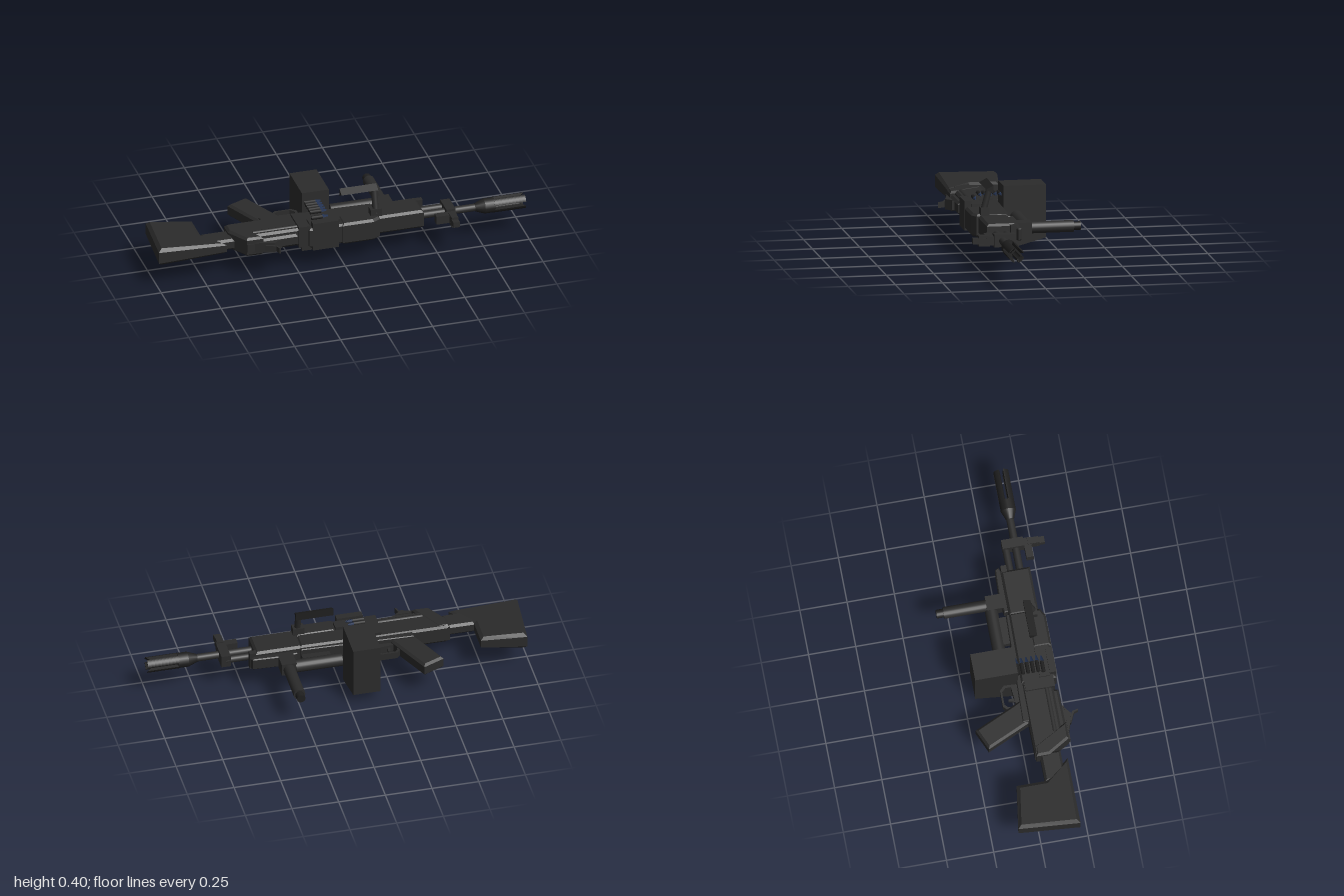
import * as THREE from 'three';

const CY = 0.183; // height of the bore axis; the weapon lies on its side, its top towards +z

export function createModel() {
  const model = new THREE.Group();
  const gunmetal = new THREE.MeshStandardMaterial({ name: 'gunmetal', color: 0x2b2b2b });
  const darkSteel = new THREE.MeshStandardMaterial({ name: 'dark steel', color: 0x1f1f1f });
  const bulletBlue = new THREE.MeshStandardMaterial({ name: 'bullet blue', color: 0x2c3d60 });

  function add(name, geo, mat = gunmetal, parent = model) {
    const mesh = new THREE.Mesh(geo, mat);
    mesh.name = name;
    parent.add(mesh);
    return mesh;
  }
  // Box given by its limits
  function box(name, x0, x1, y0, y1, z0, z1, mat, parent) {
    const g = new THREE.BoxGeometry(x1 - x0, y1 - y0, z1 - z0);
    g.translate((x0 + x1) / 2, (y0 + y1) / 2, (z0 + z1) / 2);
    return add(name, g, mat, parent);
  }
  // Outline in (x, z) extruded from y0 to y1, optionally with chamfered edges
  function slabGeo(pts, y0, y1, bevel = 0, hole) {
    const shape = new THREE.Shape(pts.map(p => new THREE.Vector2(...p)));
    if (hole) shape.holes.push(new THREE.Path(hole.map(p => new THREE.Vector2(...p))));
    const g = new THREE.ExtrudeGeometry(shape, {
      depth: y1 - y0 - 2 * bevel, bevelEnabled: bevel > 0, bevelThickness: bevel,
      bevelSize: bevel, bevelOffset: -bevel, bevelSegments: 1,
    });
    g.rotateX(Math.PI / 2);
    g.translate(0, y1 - bevel, 0);
    return g;
  }
  const slab = (name, pts, y0, y1, bevel, mat, hole) => add(name, slabGeo(pts, y0, y1, bevel, hole), mat);
  // Round bar between two points
  function bar(name, a, b, r0, r1 = r0, sides = 16, mat = gunmetal, parent = model) {
    const p = new THREE.Vector3(...a), q = new THREE.Vector3(...b);
    const mesh = add(name, new THREE.CylinderGeometry(r1, r0, p.distanceTo(q), sides), mat, parent);
    mesh.position.copy(p).lerp(q, 0.5);
    mesh.quaternion.setFromUnitVectors(new THREE.Vector3(0, 1, 0), q.sub(p).normalize());
    return mesh;
  }

  // Stock, widening towards the butt
  const stock = slabGeo([[-1, 0.21], [-0.975, -0.115], [-0.735, -0.08], [-0.735, 0.075], [-0.63, 0.21]], -0.05, 0.05, 0.018);
  const sp = stock.attributes.position;
  for (let i = 0; i < sp.count; i++) {
    const t = (sp.getX(i) + 1) / 0.37;
    sp.setY(i, CY + sp.getY(i) * (1 - 0.42 * t));
  }
  stock.computeVertexNormals();
  add('stock', stock);
  slab('stockNeck', [[-0.74, 0.07], [-0.58, 0.07], [-0.58, 0.18], [-0.74, 0.18]], 0.152, 0.214, 0.012);

  // Receiver
  slab('rearPlate', [[-0.6, 0.05], [-0.54, 0.05], [-0.44, 0.235], [-0.53, 0.235], [-0.6, 0.12]], 0.13, 0.237, 0.012);
  slab('receiver', [[-0.59, 0.045], [0.2, 0.045], [0.2, 0.205], [-0.52, 0.205]], 0.133, 0.235, 0.012);
  slab('rearTopCover', [[-0.55, 0.19], [-0.24, 0.19], [-0.25, 0.23], [-0.53, 0.235]], 0.15, 0.217, 0.012);
  box('topRail', -0.53, -0.34, 0.16, 0.205, 0.22, 0.243);
  for (const y of [0.139, 0.227]) bar('sideRod', [-0.48, y, 0.17], [-0.24, y, 0.17], 0.014, 0.014, 8);
  box('receiverCollar', -0.24, -0.18, 0.128, 0.247, 0.06, 0.215);
  slab('lowerRail', [[-0.4, 0.015], [0.2, 0.035], [0.2, 0.06], [-0.4, 0.06]], 0.135, 0.228, 0.004);
  slab('middleBody', [[-0.19, 0.045], [0.2, 0.05], [0.2, 0.215], [0.16, 0.232], [-0.19, 0.232]], 0.125, 0.238, 0.01);
  box('feedCover', -0.17, -0.03, 0.112, 0.268, 0.2, 0.236);
  box('feedTray', -0.18, -0.01, 0.118, 0.255, 0.145, 0.2);
  slab('sideCover', [[-0.01, 0.14], [0.2, 0.14], [0.2, 0.215], [0.16, 0.238], [-0.01, 0.238]], 0.12, 0.243, 0.012);

  // Handguard
  slab('handguard', [[0.19, 0.05], [0.44, 0.05], [0.44, 0.206], [0.19, 0.206]], 0.134, 0.237, 0.012);
  box('handguardLip', 0.43, 0.47, 0.137, 0.232, 0.055, 0.085);
  slab('handguardRail', [[0.22, 0.03], [0.3, 0.018], [0.46, 0.025], [0.47, 0.045], [0.44, 0.055], [0.22, 0.055]], 0.15, 0.215, 0.005);

  // Barrel, gas tube and flash hider
  bar('barrel', [0.4, CY, 0.155], [0.77, CY, 0.155], 0.02);
  bar('gasTube', [0.4, CY, 0.103], [0.59, CY, 0.103], 0.019);
  const hider = new THREE.Group();
  hider.name = 'flashHider';
  model.add(hider);
  bar('hiderCone', [0.73, CY, 0.155], [0.78, CY, 0.155], 0.021, 0.04, 16, darkSteel, hider);
  bar('hiderCollar', [0.78, CY, 0.155], [0.835, CY, 0.155], 0.04, 0.04, 16, darkSteel, hider);
  for (let i = 0; i < 4; i++) {
    // Quarter-ring prong with a slanted tip
    const s = new THREE.Shape();
    s.absarc(0, 0, 0.041, 0.27, Math.PI / 2 - 0.27, false);
    s.absarc(0, 0, 0.025, Math.PI / 2 - 0.27, 0.27, true);
    const g = new THREE.ExtrudeGeometry(s, { depth: 0.17, bevelEnabled: false, curveSegments: 4 });
    const p = g.attributes.position;
    for (let k = 0; k < p.count; k++) {
      if (p.getZ(k) > 0.1 && Math.hypot(p.getX(k), p.getY(k)) < 0.03) p.setZ(k, 0.15);
    }
    g.computeVertexNormals();
    g.rotateZ(i * Math.PI / 2);
    g.rotateY(Math.PI / 2);
    g.translate(0.83, CY, 0.155);
    add('hiderProng', g, darkSteel, hider);
  }

  // Front sight
  box('gasBlock', 0.565, 0.615, 0.15, 0.217, 0.085, 0.2);
  box('sightBase', 0.5, 0.61, 0.16, 0.206, 0.2, 0.238);
  box('sightPost', 0.57, 0.605, 0.168, 0.198, 0.23, 0.31);
  for (const y of [0.155, 0.199]) box('sightEar', 0.57, 0.605, y, y + 0.012, 0.22, 0.28);

  // Rear sight: low base and bent leaf
  slab('rearSightBase', [[-0.5, 0.24], [-0.35, 0.24], [-0.39, 0.272], [-0.43, 0.26]], 0.155, 0.21);
  slab('rearSightLeaf', [[-0.43, 0.25], [-0.375, 0.28], [-0.368, 0.312], [-0.376, 0.312], [-0.384, 0.288], [-0.44, 0.262]], 0.168, 0.198);

  // Pistol grip, trigger and guard
  slab('pistolGrip', [[-0.51, -0.185], [-0.395, -0.235], [-0.295, -0.02], [-0.26, 0.055], [-0.4, 0.055]], 0.147, 0.218, 0.012);
  slab('triggerGuard', [[-0.32, 0.05], [-0.31, -0.05], [-0.29, -0.07], [-0.2, -0.07], [-0.175, -0.045], [-0.18, 0.05]],
    0.165, 0.202, 0, gunmetal, [[-0.305, 0], [-0.295, -0.045], [-0.28, -0.06], [-0.21, -0.06], [-0.19, -0.04], [-0.19, -0.01]]);
  slab('trigger', [[-0.27, 0], [-0.25, 0], [-0.25, -0.035], [-0.262, -0.035]], 0.176, 0.19);

  // Ammunition box with a slanted end
  const boxShape = new THREE.Shape([[-0.031, 0], [0.195, 0.062], [0.195, 0.343], [-0.031, 0.343]].map(p => new THREE.Vector2(...p)));
  const ammo = new THREE.ExtrudeGeometry(boxShape, { depth: 0.147, bevelEnabled: false });
  ammo.rotateY(Math.PI / 2);
  ammo.translate(-0.17, 0, 0);
  add('ammunitionBox', ammo);

  // Cartridge belt rising from the box and bending into the feed tray
  for (let i = 0; i < 6; i++) {
    const z = 0.034 + i * 0.027, y = i < 5 ? 0.287 : 0.268;
    bar('cartridgeCase', [-0.16, y, z], [-0.1, y, z], 0.01, 0.01, 6, darkSteel);
    const tip = new THREE.CylinderGeometry(0.005, 0.013, 0.03, 3);
    tip.rotateY(-Math.PI / 2);
    tip.rotateZ(-Math.PI / 2);
    tip.rotateX(Math.PI / 2);
    tip.rotateX(Math.PI / 2);
    tip.rotateX(-Math.PI / 2);
    tip.translate(-0.085, y, z);
    add('bulletTip', tip, bulletBlue);
  }

  // Carrying handle folded to the side
  box('handleHinge', 0.155, 0.215, 0.23, 0.278, 0.15, 0.195);
  bar('handleArm', [0.187, 0.25, 0.18], [0.187, 0.37, 0.148], 0.017, 0.017, 12);
  const gripShape = new THREE.Shape([[-0.166, 0.374], [-0.127, 0.352], [-0.126, 0.395]].map(p => new THREE.Vector2(...p)));
  const handle = new THREE.ExtrudeGeometry(gripShape, { depth: 0.2, bevelEnabled: false });
  handle.rotateY(Math.PI / 2);
  handle.translate(0.005, 0, 0);
  add('handleGrip', handle, darkSteel);

  // Foregrip below the handguard and the tube beside it
  bar('foregrip', [0.285, 0.181, 0.0], [0.285, 0.181, -0.28], 0.031, 0.031, 20);
  bar('foregripCap', [0.285, 0.181, -0.275], [0.285, 0.181, -0.318], 0.023, 0.023, 20, darkSteel);
  box('foregripMount', 0.245, 0.325, 0.147, 0.215, -0.055, 0.035);
  bar('underTube', [0.0, 0.181, -0.033], [0.25, 0.181, -0.033], 0.034, 0.034, 20);
  box('tubeMount', 0.05, 0.2, 0.165, 0.198, -0.02, 0.045);

  return model;
}
